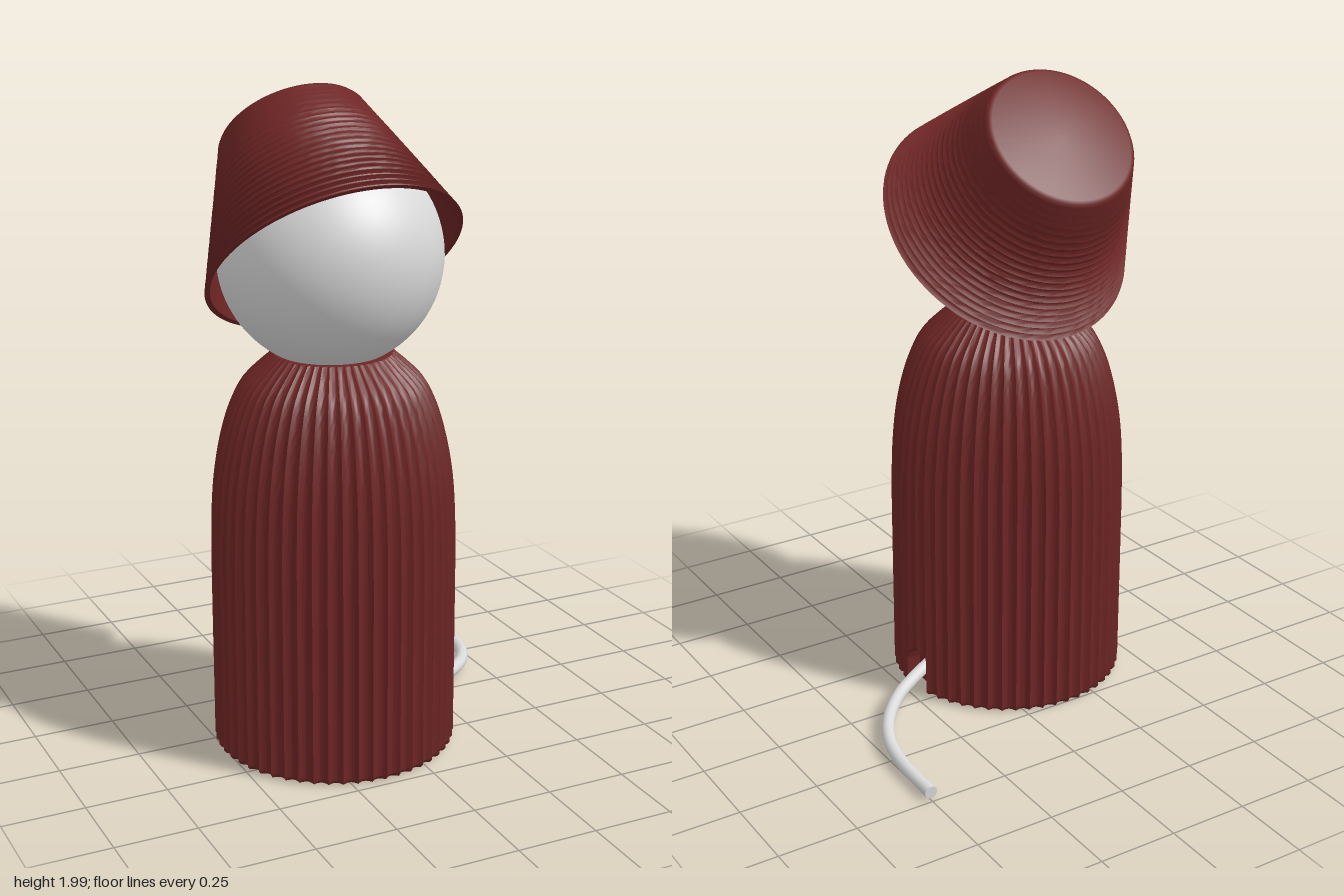
import * as THREE from 'three';
import { toCreasedNormals } from 'three/addons/utils/BufferGeometryUtils.js';

const TAU = Math.PI * 2;

// Closed-around grid: point(angle, row) gives [x, y, z], rows run upward on outer faces
function loft(cols, rows, point) {
  const pos = [], index = [];
  for (let j = 0; j < rows; j++)
    for (let i = 0; i < cols; i++) pos.push(...point((i / cols) * TAU, j));
  for (let j = 0; j < rows - 1; j++)
    for (let i = 0; i < cols; i++) {
      const k = (i + 1) % cols;
      const a = j * cols + i, b = j * cols + k, c = b + cols, d = a + cols;
      index.push(a, b, c, a, c, d);
    }
  const g = new THREE.BufferGeometry();
  g.setAttribute('position', new THREE.Float32BufferAttribute(pos, 3));
  g.setIndex(index);
  return toCreasedNormals(g, 0.6);
}

// Fluted body with a small arched cable notch on its left side
function bodyGeometry() {
  const cx = -0.145, cz = 0.11, flutes = 52, per = 8;
  const rows = [[0, 0.005], [0.362, 0.005]];
  for (let y = 0.015; y < 0.16; y += 0.008) rows.push([0.37, y]);
  const shoulder = new THREE.SplineCurve([
    [0.37, 0.2], [0.37, 0.45], [0.369, 0.65], [0.363, 0.8], [0.35, 0.91],
    [0.328, 1.01], [0.3, 1.09], [0.262, 1.155], [0.18, 1.23],
  ].map(p => new THREE.Vector2(...p)));
  shoulder.getPoints(28).forEach(p => rows.push([p.x, p.y]));
  rows.push([0, 1.23]);
  return loft(flutes * per, rows.length, (a, j) => {
    const [R, y] = rows[j];
    const f = (a / TAU) * flutes;
    const k = 2 * (f - Math.floor(f + 1e-6)) - 1;
    const r = R - 0.014 * (R / 0.37) * (1 - k * k);
    let x = cx + r * Math.sin(a);
    const z = cz + r * Math.cos(a);
    const inArch = Math.hypot(z - 0.085, Math.max(0, y - 0.085)) < 0.052;
    if (x > 0.1 && inArch) x = Math.min(x, 0.17);
    return [x, y, z];
  });
}

// Tilted hollow hat: rim ring blends to crown ring, with ribs fading toward the crown
function hatGeometry() {
  const ribs = 20, per = 6, wall = 0.016;
  const rows = [[0.95, 0, 0], [0.95, 1, -wall], [0, 1, -wall]]; // t, scale, radius offset
  for (let i = 0; i <= ribs * per; i++) {
    const t = (i / (ribs * per)) * 0.97;
    const k = 2 * ((i % per) / per) - 1;
    const depth = 0.013 * THREE.MathUtils.clamp(1.15 - 1.3 * t, 0.05, 1);
    rows.push([t, 1, -depth * (1 - k * k)]);
  }
  rows.push([0.99, 1, -0.003], [1, 1, -0.012], [1, 0, 0]);
  const { lerp } = THREE.MathUtils;
  return loft(96, rows.length, (a, j) => {
    const [t, s, off] = rows[j];
    const tilt = lerp(0.709, 0.785, t);
    const depthR = s * (lerp(0.415, 0.228, t) + off);
    const widthR = s * (lerp(0.387, 0.228, t) + off);
    const u = depthR * Math.cos(a);
    return [
      -0.136 + widthR * Math.sin(a),
      lerp(1.5, 1.84, t) + u * Math.sin(tilt),
      lerp(0.105, -0.19, t) + u * Math.cos(tilt),
    ];
  });
}

export function createModel() {
  const group = new THREE.Group();
  const red = new THREE.MeshStandardMaterial({ color: 0x6e2525 });
  red.name = 'dark red';
  const white = new THREE.MeshStandardMaterial({ color: 0xd9d9d9 });
  white.name = 'soft white';

  const add = (name, geometry, material) => {
    const m = new THREE.Mesh(geometry, material);
    m.name = name;
    group.add(m);
    return m;
  };

  add('body', bodyGeometry(), red);
  add('hat', hatGeometry(), red);

  // Globe head
  add('head', new THREE.SphereGeometry(0.332, 64, 40), white).position.set(-0.147, 1.52, 0.1);

  // Cable curving out of the notch toward the back
  const path = new THREE.CatmullRomCurve3([
    [0.16, 0.083, 0.085], [0.25, 0.072, 0.04], [0.335, 0.06, -0.012], [0.42, 0.047, -0.1],
    [0.472, 0.037, -0.2], [0.494, 0.03, -0.32], [0.496, 0.026, -0.485],
  ].map(p => new THREE.Vector3(...p)));
  add('cable', new THREE.TubeGeometry(path, 48, 0.02, 16), white);

  // Flat cable end
  const cap = add('cableEnd', new THREE.CircleGeometry(0.02, 16), white);
  cap.position.copy(path.getPoint(1));
  cap.lookAt(path.getPoint(1).add(path.getTangent(1)));

  return group;
}
